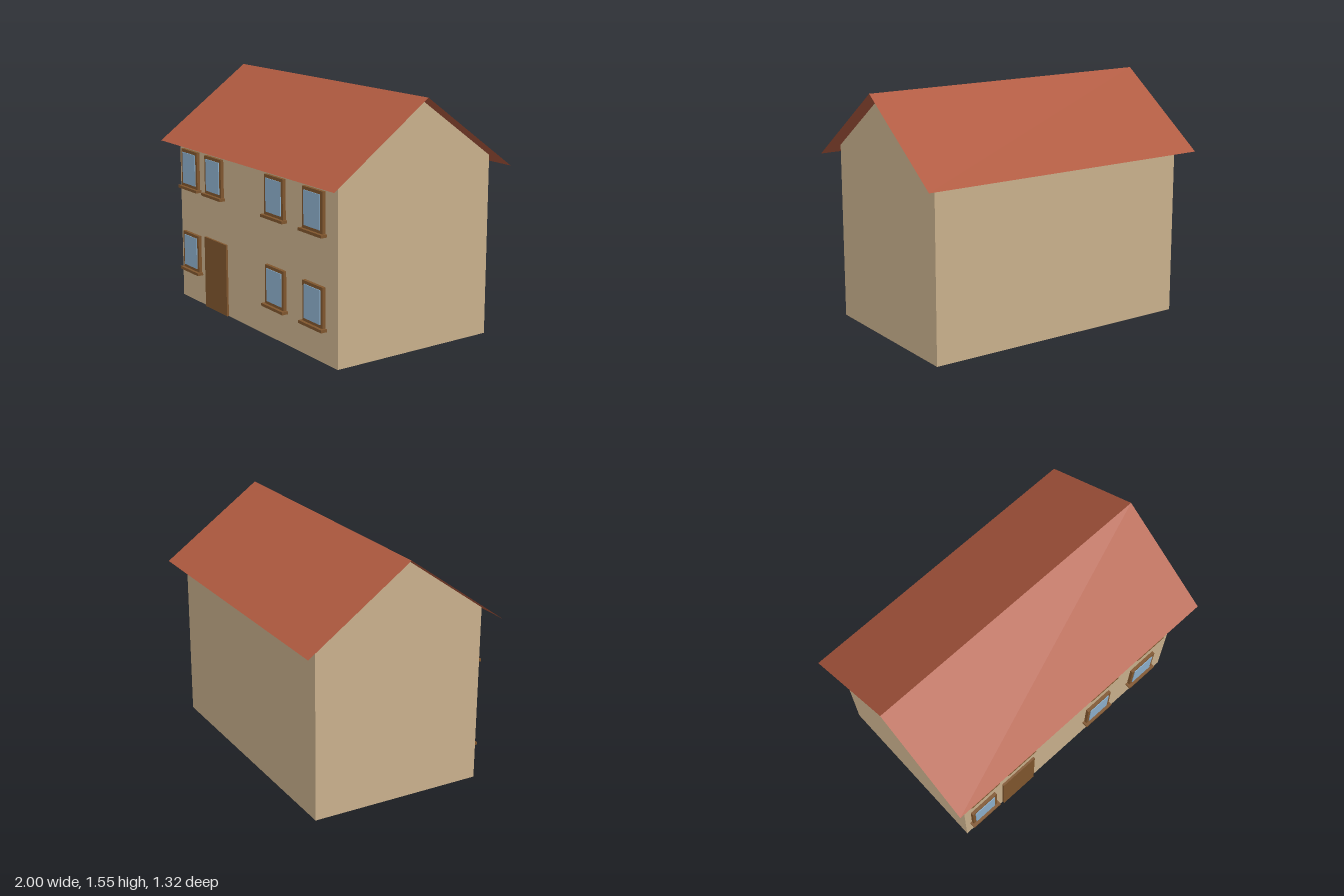
import * as THREE from 'three';

const mat = (name, color) => {
  const m = new THREE.MeshStandardMaterial({ color });
  m.name = name;
  return m;
};

export function createModel() {
  const house = new THREE.Group();
  house.name = 'house';
  const wall = mat('tan plaster', 0xcab18d);
  const tile = mat('red roof', 0xb05a40);
  tile.side = THREE.DoubleSide;
  const wood = mat('brown wood', 0x80562e);
  const glass = mat('blue glass', 0x8db0cc);
  const boards = mat('floor boards', 0xb08c62);

  const X = 0.907, Z = 0.566, T = 0.055;   // outer half sizes, wall thickness
  const EAVE = 1.137, RIDGE = 1.54;

  // box given by its lower and upper corners
  const box = (name, material, [x0, y0, z0], [x1, y1, z1], parent = house) => {
    const m = new THREE.Mesh(new THREE.BoxGeometry(x1 - x0, y1 - y0, z1 - z0), material);
    m.position.set((x0 + x1) / 2, (y0 + y1) / 2, (z0 + z1) / 2);
    m.name = name;
    parent.add(m);
  };

  // wall extruded along x from an outline in (z, y)
  const crossWall = (name, points, x, thickness) => {
    const shape = new THREE.Shape(points.map(([z, y]) => new THREE.Vector2(-z, y)));
    const g = new THREE.ExtrudeGeometry(shape, { depth: thickness, bevelEnabled: false });
    g.rotateY(Math.PI / 2);
    const m = new THREE.Mesh(g, wall);
    m.position.x = x;
    m.name = name;
    house.add(m);
  };

  // gable ends, long walls and the inner wall with its doorway
  const gable = [[Z, 0], [-Z, 0], [-Z, EAVE], [0, RIDGE], [Z, EAVE]];
  crossWall('leftGableWall', gable, X - T, T);
  crossWall('rightGableWall', gable, -X, T);
  box('frontWall', wall, [-X + T, 0, Z - T], [X - T, EAVE, Z]);
  box('backWall', wall, [-X + T, 0, -Z], [X - T, EAVE, -Z + T]);
  const inner = Z - T;
  crossWall('innerWall', [[inner, 0], [0.14, 0], [0.14, 0.48], [-0.12, 0.48], [-0.12, 0],
    [-inner, 0], [-inner, EAVE], [inner, EAVE]], -0.03, 0.03);

  // floor, split around the inner wall
  box('leftFloor', boards, [0, 0, -inner], [X - T, 0.01, inner]);
  box('rightFloor', boards, [-X + T, 0, -inner], [-0.03, 0.01, inner]);
  box('doorwayFloor', boards, [-0.03, 0, -0.12], [0, 0.01, 0.14]);

  // thin sheet roof with overhanging eaves
  const RZ = 0.66, RY0 = 1.075, RY1 = 1.546;
  const slope = Math.hypot(RZ, RY1 - RY0), tilt = Math.atan2(RY1 - RY0, RZ);
  for (const s of [1, -1]) {
    const g = new THREE.PlaneGeometry(2, slope);
    g.rotateX(-Math.PI / 2 + tilt);
    g.translate(0, (RY0 + RY1) / 2, RZ / 2);
    if (s < 0) g.rotateY(Math.PI);
    const m = new THREE.Mesh(g, tile);
    m.name = s > 0 ? 'frontRoof' : 'backRoof';
    house.add(m);
  }

  // door
  box('door', wood, [-0.582, 0, Z], [-0.308, 0.48, 0.58]);

  // windows: frame board, raised pane and sill; (x, y) is the bottom centre
  const addWindow = (x, y) => {
    const w = new THREE.Group();
    w.name = 'window';
    w.position.set(x, y, 0);
    box('windowFrame', wood, [-0.103, 0, Z], [0.103, 0.25, 0.587], w);
    box('windowPane', glass, [-0.082, 0.02, 0.587], [0.082, 0.23, 0.592], w);
    box('windowSill', wood, [-0.118, -0.018, Z], [0.118, 0, 0.607], w);
    house.add(w);
  };
  for (const x of [-0.753, -0.447, 0.272, 0.68]) addWindow(x, 0.784);
  for (const x of [-0.753, 0.272, 0.68]) addWindow(x, 0.217);

  return house;
}
